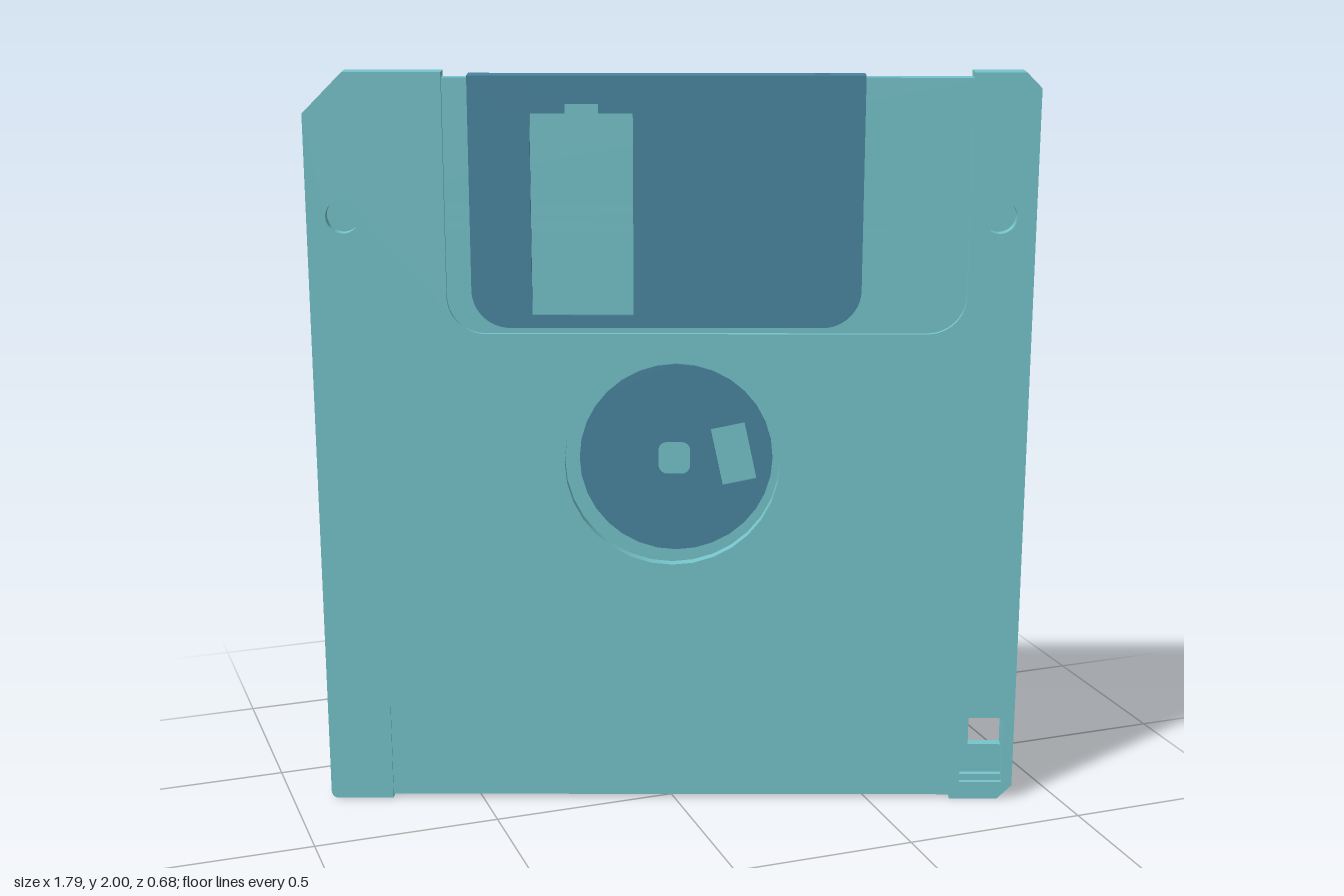
import * as THREE from 'three';
import { toCreasedNormals } from 'three/addons/utils/BufferGeometryUtils.js';

const shellMat = new THREE.MeshStandardMaterial({ color: 0x76c5cc });
const metalMat = new THREE.MeshStandardMaterial({ color: 0x4a86a0 });

// Polygon from [x, y, cornerRadius] points
function poly(pts, PathType = THREE.Shape) {
  const path = new PathType();
  const n = pts.length;
  pts.forEach(([x, y, r = 0], i) => {
    const c = new THREE.Vector2(x, y);
    const toward = (p) => new THREE.Vector2(p[0], p[1]).sub(c).normalize().multiplyScalar(r).add(c);
    const a = toward(pts[(i + n - 1) % n]);
    const b = toward(pts[(i + 1) % n]);
    if (i === 0) path.moveTo(a.x, a.y);
    else path.lineTo(a.x, a.y);
    // circular-looking corner as a cubic curve
    const k = 0.5523;
    if (r > 0) {
      path.bezierCurveTo(
        a.x + (x - a.x) * k, a.y + (y - a.y) * k,
        b.x + (x - b.x) * k, b.y + (y - b.y) * k, b.x, b.y);
    }
  });
  path.closePath();
  return path;
}

const rect = (x0, y0, x1, y1, r = 0) =>
  poly([[x0, y0, r], [x1, y0, r], [x1, y1, r], [x0, y1, r]], THREE.Path);

function circle(x, y, r, PathType = THREE.Path) {
  const p = new PathType();
  p.absarc(x, y, r, 0, Math.PI * 2, false);
  return p;
}

// Flat slab of a shape between two depths
function slab(name, shape, holes, z0, z1, mat) {
  shape.holes.push(...holes);
  const geo = new THREE.ExtrudeGeometry(shape, { depth: z1 - z0, bevelEnabled: false, curveSegments: 16 });
  geo.translate(0, 0, z0);
  const mesh = new THREE.Mesh(toCreasedNormals(geo, 0.6), mat);
  mesh.name = name;
  return mesh;
}

const W = 0.9415;      // half width of the shell
const H = 0.0295;      // half thickness
const SHUT = 0.0175;   // depth level of the shutter recess floor
const LABEL = 0.0235;  // depth level of the label recess floor
const LABEL_X = 0.77;

// Shell outline; shutterY and labelY say how far the open recesses reach in
function outline(shutterY, labelY) {
  const sr = shutterY < 1.9 ? 0.1 : 0;
  const lr = labelY > 0.1 ? 0.035 : 0;
  return poly([
    [-W, 0, 0.02], [-LABEL_X, 0], [-LABEL_X, labelY, lr], [LABEL_X, labelY, lr], [LABEL_X, 0],
    [W - 0.04, 0], [W, 0.04], [W, 1.96], [W - 0.04, 2],
    [0.77, 2], [0.77, shutterY, sr], [-0.585, shutterY, sr], [-0.585, 2],
    [-W + 0.105, 2], [-W, 1.895],
  ]);
}

export function createModel() {
  const model = new THREE.Group();
  model.name = 'floppyDisk';
  const disk = new THREE.Group();
  disk.name = 'disk';
  disk.rotation.y = -THREE.MathUtils.degToRad(19.48);
  model.add(disk);

  // Openings in the shell
  const frontHoles = () => [
    circle(0.003, 0.97, 0.286),
    circle(-0.848, 1.63, 0.044),
    circle(0.848, 1.63, 0.044),
    rect(0.796, 0.05, 0.912, 0.24),
  ];
  const protectHole = () => rect(0.82, 0.15, 0.91, 0.235);
  const arrow = () => poly([
    [0.82, 1.645], [0.88, 1.645], [0.88, 1.72], [0.905, 1.72],
    [0.85, 1.825], [0.795, 1.72], [0.82, 1.72],
  ], THREE.Path);

  // Shell, layer by layer from back to front
  disk.add(
    slab('backFace', outline(1.32, 1.18), [protectHole(), arrow()], -H, -LABEL, shellMat),
    slab('backLabelFloor', outline(1.32, 0.01), [protectHole(), arrow()], -LABEL, -SHUT, shellMat),
    slab('core', outline(1.985, 0.01), [protectHole()], -SHUT, 0, shellMat),
    slab('frontShutterFloor', outline(1.985, 0.01), frontHoles(), 0, SHUT, shellMat),
    slab('frontLabelFloor', outline(1.32, 0.01), frontHoles(), SHUT, LABEL, shellMat),
    slab('frontFace', outline(1.32, 0.32), frontHoles(), LABEL, H, shellMat),
  );

  // Write protect slider lip
  const lip = new THREE.Mesh(new THREE.BoxGeometry(0.116, 0.018, 0.016), shellMat);
  lip.position.set(0.854, 0.059, 0.008);
  lip.name = 'writeProtectLip';
  disk.add(lip);

  // Sliding shutter: two sheets joined by a bridge over the top edge
  const S0 = -0.52, S1 = 0.495, SZ = 0.0272;
  const sheet = () => poly([[S0, 1.336, 0.1], [S1, 1.336, 0.1], [S1, 1.992], [S0, 1.992]]);
  const frontWindow = poly([
    [-0.362, 1.37], [-0.098, 1.37], [-0.098, 1.895], [-0.186, 1.895],
    [-0.186, 1.92], [-0.272, 1.92], [-0.272, 1.895], [-0.362, 1.895],
  ], THREE.Path);
  disk.add(
    slab('shutterFront', sheet(), [frontWindow], SHUT, SZ, metalMat),
    slab('shutterBack', sheet(), [rect(-0.357, 1.375, -0.07, 1.905)], -SZ, -SHUT, metalMat),
  );
  const bridge = slab('shutterBridge',
    poly([[S0, -SHUT], [S1, -SHUT], [S1, SHUT], [S0, SHUT]]),
    [rect(0.365, -0.011, 0.405, 0.011)], 0, 0.007, metalMat);
  bridge.rotation.x = -Math.PI / 2;
  bridge.position.y = 1.985;
  disk.add(bridge);

  // Metal hub with centre hole and drive slot
  const slotAngle = 0.21;
  const slot = poly([[-1, -1], [1, -1], [1, 1], [-1, 1]].map(([sx, sy]) => {
    const v = new THREE.Vector2(sx * 0.046, sy * 0.079).rotateAround(new THREE.Vector2(), slotAngle);
    return [0.166 + v.x, 0.988 + v.y];
  }), THREE.Path);
  disk.add(slab('hub', circle(0.013, 0.977, 0.257, THREE.Shape),
    [rect(-0.034, 0.932, 0.05, 1.02, 0.022), slot], 0, 0.006, metalMat));

  return model;
}
